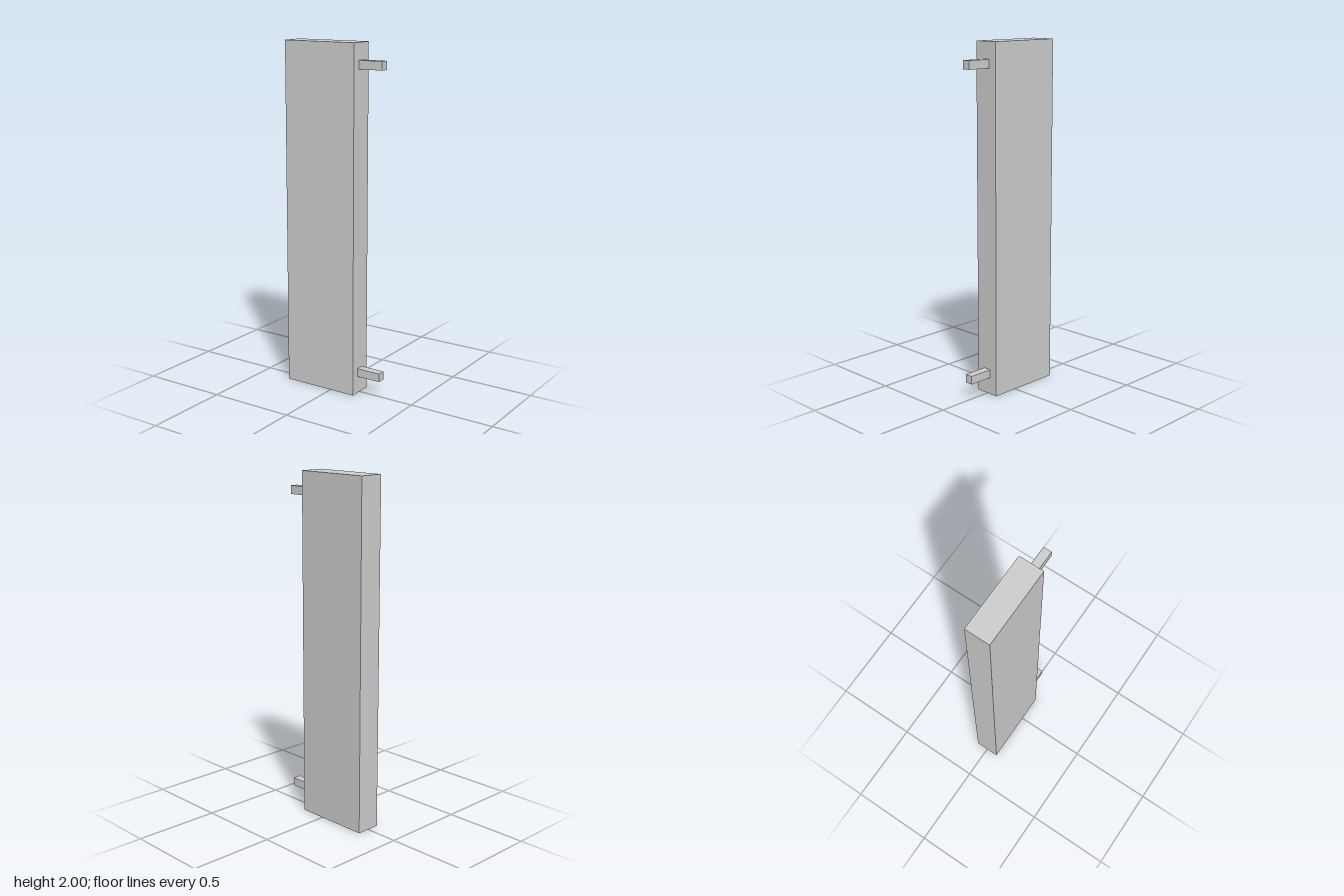
import * as THREE from 'three';

export function createModel() {
  const group = new THREE.Group();
  const material = new THREE.MeshStandardMaterial({ color: 0xcccccc, flatShading: true });

  function addBox(name, width, height, depth, x, y) {
    const mesh = new THREE.Mesh(new THREE.BoxGeometry(width, height, depth), material);
    mesh.name = name;
    mesh.position.set(x, y, 0);
    group.add(mesh);
  }

  // Tall flat panel
  const left = -0.301, edge = 0.155, tip = 0.301;
  addBox('panel', edge - left, 2, 0.145, (left + edge) / 2, 1);

  // Two square pegs standing out from the panel's edge
  const pegs = { lowerPeg: 0.124, upperPeg: 1.881 };
  for (const [name, y] of Object.entries(pegs)) {
    addBox(name, tip - edge, 0.048, 0.048, (edge + tip) / 2, y);
  }

  return group;
}
